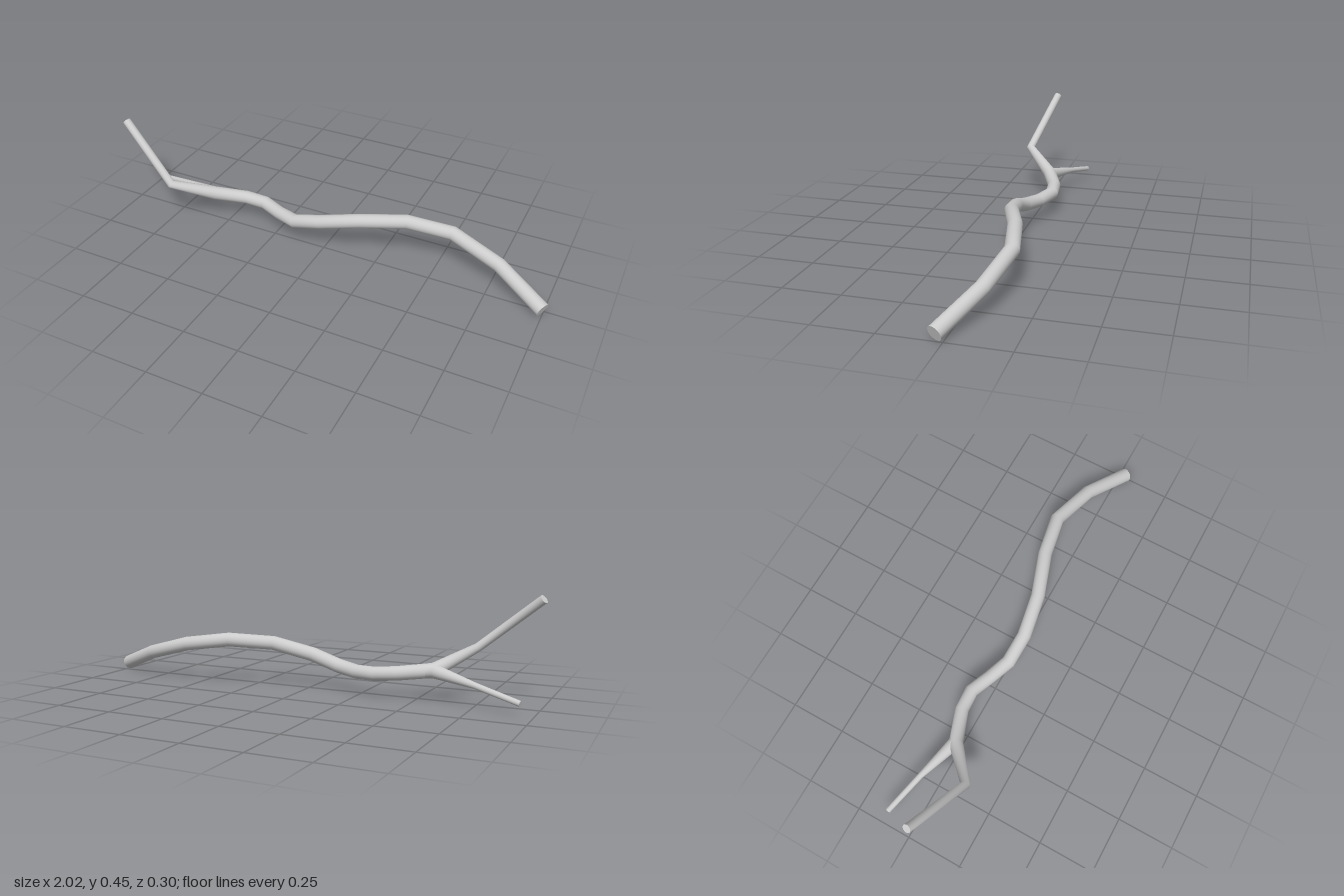
import * as THREE from 'three';

const SIDES = 20;

// Tapered limb through [x, y, z, radius] points, mitred at each bend, flat caps at the ends
function limb(name, pts, material) {
  const P = pts.map(([x, y, z]) => new THREE.Vector3(x, y, z));
  const last = P.length - 1;
  const dir = (i) => P[i + 1].clone().sub(P[i]).normalize();
  const up = new THREE.Vector3(0, 1, 0);
  const pos = [], index = [];

  P.forEach((p, i) => {
    const before = dir(Math.max(i - 1, 0)), after = dir(Math.min(i, last - 1));
    const t = before.clone().add(after).normalize();
    const bend = after.clone().sub(before).normalize();
    const stretch = 1 / t.dot(after) - 1;
    const u = t.clone().cross(up).normalize(), v = u.clone().cross(t);
    for (let j = 0; j < SIDES; j++) {
      const a = (j / SIDES) * Math.PI * 2;
      const o = u.clone().multiplyScalar(Math.cos(a)).addScaledVector(v, Math.sin(a));
      o.addScaledVector(bend, o.dot(bend) * stretch).multiplyScalar(pts[i][3]).add(p);
      pos.push(o.x, o.y, o.z);
    }
  });

  // Side walls
  for (let i = 0; i < last; i++) {
    for (let j = 0; j < SIDES; j++) {
      const a = i * SIDES + j, b = i * SIDES + (j + 1) % SIDES;
      index.push(a, a + SIDES, b, b, a + SIDES, b + SIDES);
    }
  }

  // Caps on their own vertices, so the rims stay sharp
  for (const end of [0, last]) {
    const first = pos.length / 3;
    pos.push(...pos.slice(end * SIDES * 3, (end + 1) * SIDES * 3), ...P[end].toArray());
    for (let j = 0; j < SIDES; j++) {
      const a = first + j, b = first + (j + 1) % SIDES;
      index.push(first + SIDES, end ? b : a, end ? a : b);
    }
  }

  const geo = new THREE.BufferGeometry();
  geo.setAttribute('position', new THREE.Float32BufferAttribute(pos, 3));
  geo.setIndex(index);
  geo.computeVertexNormals();
  const mesh = new THREE.Mesh(geo, material);
  mesh.name = name;
  return mesh;
}

export function createModel() {
  const group = new THREE.Group();
  group.name = 'branch';
  const bark = new THREE.MeshStandardMaterial({ color: 0xcccccc });

  // Winding main stem, running on into the raised twig
  group.add(limb('mainStem', [
    [1, 0.034, 0.03, 0.032],
    [0.78, 0.117, -0.073, 0.031],
    [0.555, 0.178, -0.121, 0.031],
    [0.36, 0.204, -0.08, 0.031],
    [0.17, 0.192, -0.013, 0.031],
    [-0.01, 0.15, 0.016, 0.031],
    [-0.14, 0.11, 0.008, 0.031],
    [-0.24, 0.1, -0.032, 0.03],
    [-0.335, 0.106, -0.07, 0.03],
    [-0.43, 0.115, -0.062, 0.03],
    [-0.57, 0.13, -0.008, 0.031],
    [-0.715, 0.216, 0.128, 0.019],
    [-0.99, 0.437, 0.047, 0.019],
  ], bark));

  // Thin lower twig splitting off at the fork
  group.add(limb('sideTwig', [
    [-0.5, 0.122, -0.034, 0.027],
    [-0.57, 0.128, -0.012, 0.03],
    [-0.76, 0.096, -0.075, 0.013],
    [-0.95, 0.053, -0.127, 0.012],
  ], bark));

  return group;
}
